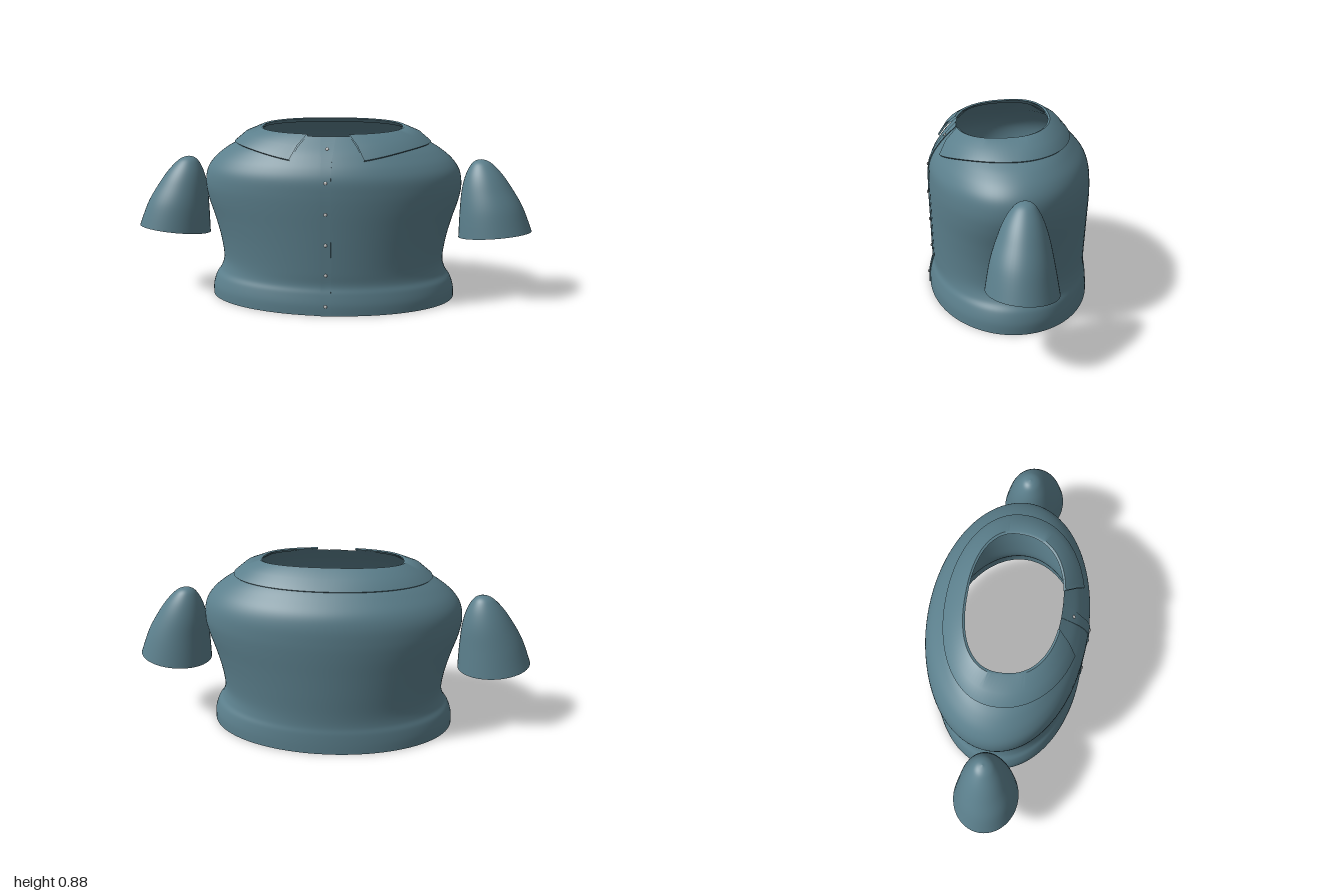
import * as THREE from 'three';
import { toCreasedNormals } from 'three/addons/utils/BufferGeometryUtils.js';

const TAU = Math.PI * 2;
const lerp = THREE.MathUtils.lerp;
const spow = (v, e) => Math.sign(v) * Math.abs(v) ** e;

// Surface through fn(u, v) -> [x, y, z]; v runs around, u runs upwards
function surface(fn, nu, nv, closed) {
  const pos = [], idx = [], cols = closed ? nv : nv + 1;
  for (let i = 0; i <= nu; i++)
    for (let j = 0; j < cols; j++) pos.push(...fn(i / nu, j / nv));
  for (let i = 0; i < nu; i++)
    for (let j = 0; j < nv; j++) {
      const k = (j + 1) % cols;
      const a = i * cols + j, b = i * cols + k, c = b + cols, d = a + cols;
      idx.push(a, b, c, a, c, d);
    }
  const g = new THREE.BufferGeometry();
  g.setAttribute('position', new THREE.Float32BufferAttribute(pos, 3));
  g.setIndex(idx);
  g.computeVertexNormals();
  return g;
}

// Smooth interpolation between rows of section values
function section(rows, u) {
  const f = Math.min(u, 0.99999) * (rows.length - 1), i = Math.floor(f), t = f - i;
  const row = k => rows[THREE.MathUtils.clamp(k, 0, rows.length - 1)];
  return rows[0].map((_, n) => {
    const [a, b, c, d] = [row(i - 1)[n], row(i)[n], row(i + 1)[n], row(i + 2)[n]];
    return b + 0.5 * t * (c - a + t * (2 * a - 5 * b + 4 * c - d + t * (3 * (b - c) + d - a)));
  });
}

// Half width, front z, back z, front y, back y, roundness
const BODY = [
  [0.62, 0.398, 0.406, 0, 0, 1],
  [0.618, 0.397, 0.404, 0.05, 0.05, 1],
  [0.602, 0.388, 0.4, 0.1, 0.1, 1],
  [0.576, 0.378, 0.394, 0.14, 0.14, 1],
  [0.561, 0.38, 0.394, 0.2, 0.2, 1],
  [0.574, 0.383, 0.399, 0.3, 0.3, 1],
  [0.6, 0.386, 0.403, 0.4, 0.4, 1],
  [0.632, 0.389, 0.407, 0.5, 0.5, 1],
  [0.645, 0.389, 0.407, 0.575, 0.575, 1],
  [0.635, 0.384, 0.4, 0.64, 0.65, 1],
  [0.6, 0.366, 0.378, 0.69, 0.71, 1],
  [0.54, 0.337, 0.33, 0.735, 0.765, 0.98],
  [0.465, 0.305, 0.28, 0.775, 0.81, 0.93],
  [0.355, 0.245, 0.2, 0.835, 0.865, 0.86],
];

function bodyPoint(u, angle, lift = 0) {
  const [a, zf, zb, yf, yb, e] = section(BODY, u);
  const s = Math.sin(angle), c = Math.cos(angle);
  return [(a + lift) * spow(s, e), lerp(yb, yf, (c + 1) / 2), ((c > 0 ? zf : zb) + lift) * spow(c, e)];
}

// Position along the body at which the front centre reaches height y
function bodyAt(y) {
  let lo = 0, hi = 1;
  for (let i = 0; i < 30; i++) {
    const m = (lo + hi) / 2;
    if (bodyPoint(m, 0)[1] < y) lo = m; else hi = m;
  }
  return lo;
}

// Collar loop, outer face then inner: half width, front z, back z, side y, slope, front dip, gap, roundness
const COLLAR = [
  [0.49, 0.356, 0.306, 0.79, 0.01, 0.058, 0.345, 0.95],
  [0.437, 0.313, 0.264, 0.834, 0.015, 0.026, 0.29, 0.9],
  [0.36, 0.253, 0.207, 0.865, 0.019, 0, 0.225, 0.86],
  [0.347, 0.243, 0.197, 0.861, 0.019, 0, 0.225, 0.86],
  [0.427, 0.305, 0.256, 0.826, 0.015, 0.026, 0.29, 0.9],
  [0.483, 0.349, 0.299, 0.784, 0.01, 0.058, 0.345, 0.95],
];
function collarPoint(u, v) {
  const [a, zf, zb, y, slope, dip, gap, e] = COLLAR[Math.round(u * 6) % 6];
  const angle = lerp(gap, TAU - gap, v), s = Math.sin(angle), c = Math.cos(angle);
  return [a * spow(s, e), y - slope * c - dip * Math.max(0, c) ** 4, (c > 0 ? zf : zb) * spow(c, e)];
}

// Height, inner x, outer x, half depth, centre z, tilt of the opening
const SLEEVE = [
  [0.325, 0.638, 1.0, 0.16, 0.008, 0.02],
  [0.45, 0.641, 0.952, 0.138, 0.007, 0.015],
  [0.55, 0.648, 0.895, 0.111, 0, 0.01],
  [0.62, 0.664, 0.848, 0.084, -0.004, 0.005],
  [0.67, 0.688, 0.803, 0.054, -0.008, 0.002],
  [0.692, 0.712, 0.773, 0.029, -0.01, 0],
  [0.7, 0.74, 0.741, 0.0005, -0.01, 0],
];
function sleevePoint(u, v, side) {
  const [y, xi, xo, rz, zc, tilt] = section(SLEEVE, u);
  const s = Math.sin(v * TAU) * side, c = Math.cos(v * TAU);
  return [side * ((xi + xo) / 2 + s * (xo - xi) / 2), y + tilt * (s + 0.6 * c), zc + rz * c];
}

export function createModel() {
  const group = new THREE.Group();
  const cloth = new THREE.MeshStandardMaterial({ color: 0x5b7f8c, side: THREE.DoubleSide });
  const buttonMaterial = new THREE.MeshStandardMaterial({ color: 0xcccccc });
  const add = (name, geometry, material = cloth) => {
    const mesh = new THREE.Mesh(geometry, material);
    mesh.name = name;
    group.add(mesh);
    return mesh;
  };

  // Open torso with a gathered hem
  add('body', surface((u, v) => bodyPoint(u, v * TAU), 78, 96, true));

  // Folded collar with a gap at the front
  add('collar', toCreasedNormals(surface(collarPoint, 6, 96, false), 0.7));

  // Raised button strip down the front
  const strip = [[-0.024, 0], [-0.024, 0.005], [0.024, 0.005], [0.024, 0]];
  add('placket', toCreasedNormals(surface((u, v) => {
    const [x, lift] = strip[Math.round(v * 3)];
    return bodyPoint(u, x / section(BODY, u)[0], lift);
  }, 60, 3, false), 0.7));

  // Bell-shaped sleeves, open below
  for (const side of [1, -1])
    add(side > 0 ? 'leftSleeve' : 'rightSleeve', surface((u, v) => sleevePoint(u, v, side), 36, 48, true));

  // Small round buttons
  const buttonGeometry = new THREE.SphereGeometry(0.008, 14, 10);
  for (const y of [0.048, 0.195, 0.342, 0.489, 0.636, 0.783]) {
    const u = bodyAt(y);
    const p = new THREE.Vector3(...bodyPoint(u, 0, 0.007));
    const up = new THREE.Vector3(...bodyPoint(Math.min(u + 0.01, 1), 0, 0.007)).sub(p);
    const button = add('button', buttonGeometry, buttonMaterial);
    button.position.copy(p);
    button.rotation.x = Math.atan2(up.z, up.y);
    button.scale.z = 0.6;
  }
  return group;
}
